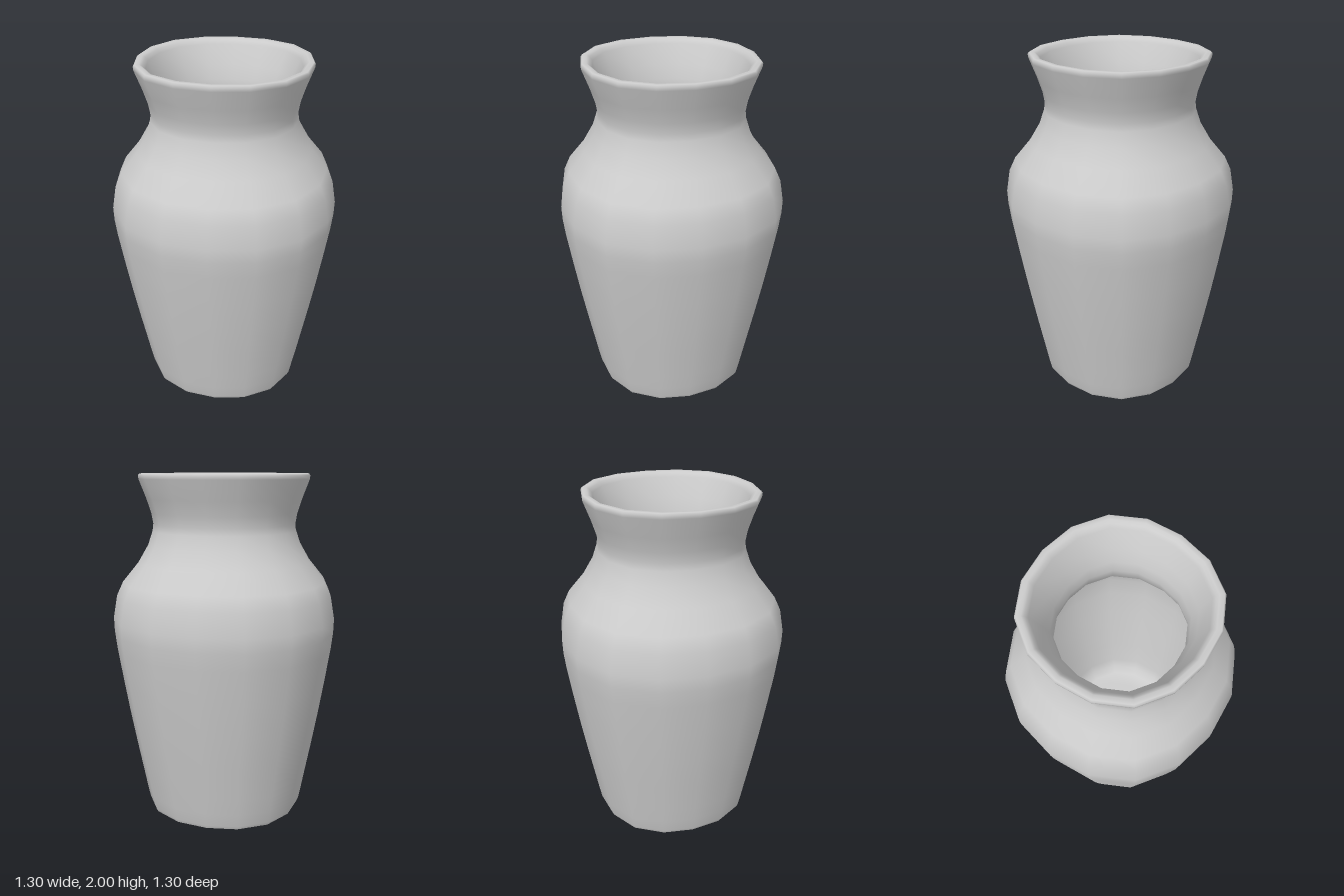
import * as THREE from 'three';
import { mergeVertices } from 'three/addons/utils/BufferGeometryUtils.js';

const SIDES = 16;

// Lathe a [radius, height] profile, swelling it slightly on the diagonals
function turned(name, profile, material) {
  const points = profile.map(([r, y]) => new THREE.Vector2(r, y));
  let geometry = new THREE.LatheGeometry(points, SIDES);
  const pos = geometry.attributes.position;
  for (let i = 0; i < pos.count; i++) {
    const x = pos.getX(i), z = pos.getZ(i);
    const swell = 1 + 0.019 * (1 - Math.cos(4 * Math.atan2(x, z)));
    pos.setX(i, x * swell);
    pos.setZ(i, z * swell);
  }
  // Weld the seam so the shading runs smoothly all the way round
  geometry.deleteAttribute('uv');
  geometry.deleteAttribute('normal');
  geometry = mergeVertices(geometry, 1e-4);
  geometry.computeVertexNormals();
  const mesh = new THREE.Mesh(geometry, material);
  mesh.name = name;
  return mesh;
}

export function createModel() {
  const vase = new THREE.Group();
  vase.name = 'vase';
  const material = new THREE.MeshStandardMaterial({ color: 0xcccccc });

  // Outer wall: tapered body, round shoulder, narrow neck, flared mouth
  const outer = [
    [0.46, 0], [0.469, 0.02], [0.485, 0.1], [0.503, 0.2], [0.54, 0.4], [0.575, 0.6],
    [0.607, 0.8], [0.637, 1], [0.648, 1.1], [0.65, 1.18], [0.627, 1.31],
    [0.59, 1.39], [0.5, 1.5], [0.442, 1.6], [0.415, 1.68], [0.41, 1.72],
    [0.42, 1.78], [0.445, 1.86], [0.486, 1.97],
  ];
  // Rounded lip
  const lip = [[0.488, 1.99], [0.48, 2], [0.455, 2], [0.44, 1.99], [0.425, 1.97]];
  // Inner wall, down to the dished floor
  const inner = [
    [0.375, 1.86], [0.345, 1.78], [0.333, 1.71], [0.345, 1.65], [0.38, 1.56],
    [0.44, 1.46], [0.52, 1.36], [0.555, 1.27], [0.57, 1.16], [0.56, 1],
    [0.53, 0.8], [0.497, 0.6], [0.462, 0.4], [0.425, 0.2], [0.4, 0.13],
    [0.36, 0.09], [0.28, 0.075], [0, 0.075],
  ];
  vase.add(turned('vaseWall', [...outer, ...lip, ...inner], material));

  // Flat underside, kept separate for a crisp foot edge
  vase.add(turned('base', [[0, 0], [0.46, 0]], material));
  return vase;
}
